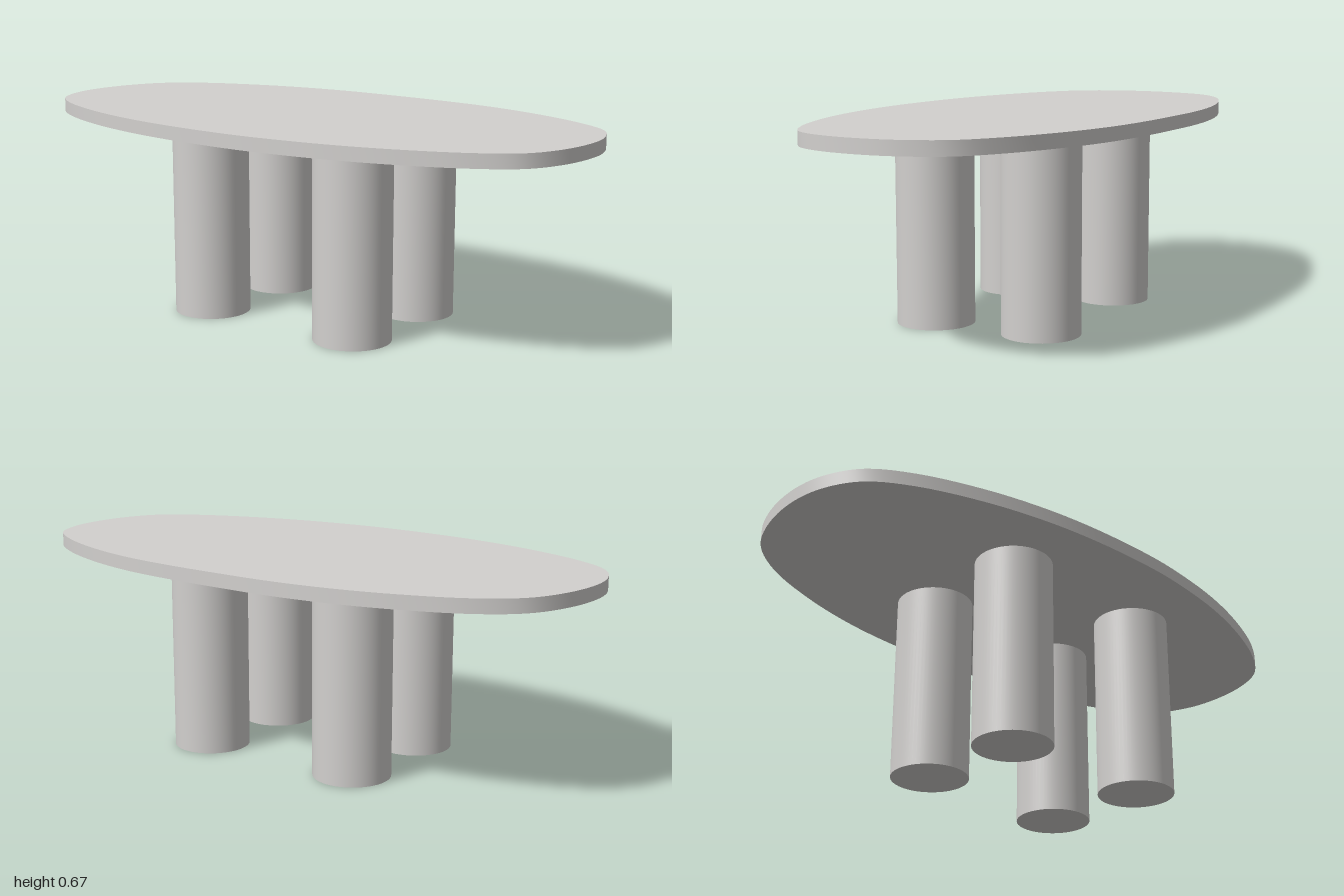
import * as THREE from 'three';
import { toCreasedNormals } from 'three/addons/utils/BufferGeometryUtils.js';

const UNDERSIDE = 0.628, TOP = 0.672, LEG_RADIUS = 0.126;

// Outline of the irregular oval top as [x, z], clockwise seen from above
const OUTLINE = [
  [-1, 0], [-0.98, -0.15], [-0.92, -0.28], [-0.8, -0.375], [-0.6, -0.45], [-0.4, -0.492],
  [-0.2, -0.508], [0, -0.503], [0.2, -0.49], [0.4, -0.463], [0.6, -0.408], [0.8, -0.32],
  [0.93, -0.225], [0.985, -0.11], [1, 0], [0.98, 0.15], [0.92, 0.27], [0.8, 0.352],
  [0.6, 0.428], [0.4, 0.475], [0.2, 0.498], [0.05, 0.503], [-0.2, 0.487], [-0.4, 0.455],
  [-0.6, 0.4], [-0.8, 0.315], [-0.92, 0.228], [-0.98, 0.12],
];

export function createModel() {
  const group = new THREE.Group();
  group.name = 'table';
  const stone = new THREE.MeshStandardMaterial({ name: 'warm grey', color: 0xd2d0ce });

  // Table top: smooth closed outline, extruded upwards
  const curve = new THREE.CatmullRomCurve3(
    OUTLINE.map(([x, z]) => new THREE.Vector3(x, -z, 0)), true);
  const points = curve.getPoints(140).slice(0, -1);
  const shape = new THREE.Shape(points.map((p) => new THREE.Vector2(p.x, p.y)));
  const slab = new THREE.ExtrudeGeometry(shape, { depth: TOP - UNDERSIDE, bevelEnabled: false });
  slab.rotateX(-Math.PI / 2);
  const tableTop = new THREE.Mesh(toCreasedNormals(slab, 0.6), stone);
  tableTop.name = 'tableTop';
  tableTop.position.y = UNDERSIDE;
  group.add(tableTop);

  // Four thick round legs
  const legGeometry = new THREE.CylinderGeometry(LEG_RADIUS, LEG_RADIUS, UNDERSIDE, 64);
  for (const [side, x] of [['Right', -0.275], ['Left', 0.297]]) {
    for (const [end, z] of [['front', 0.195], ['back', -0.182]]) {
      const leg = new THREE.Mesh(legGeometry, stone);
      leg.name = `${end}${side}Leg`;
      leg.position.set(x, UNDERSIDE / 2, z);
      group.add(leg);
    }
  }
  return group;
}
